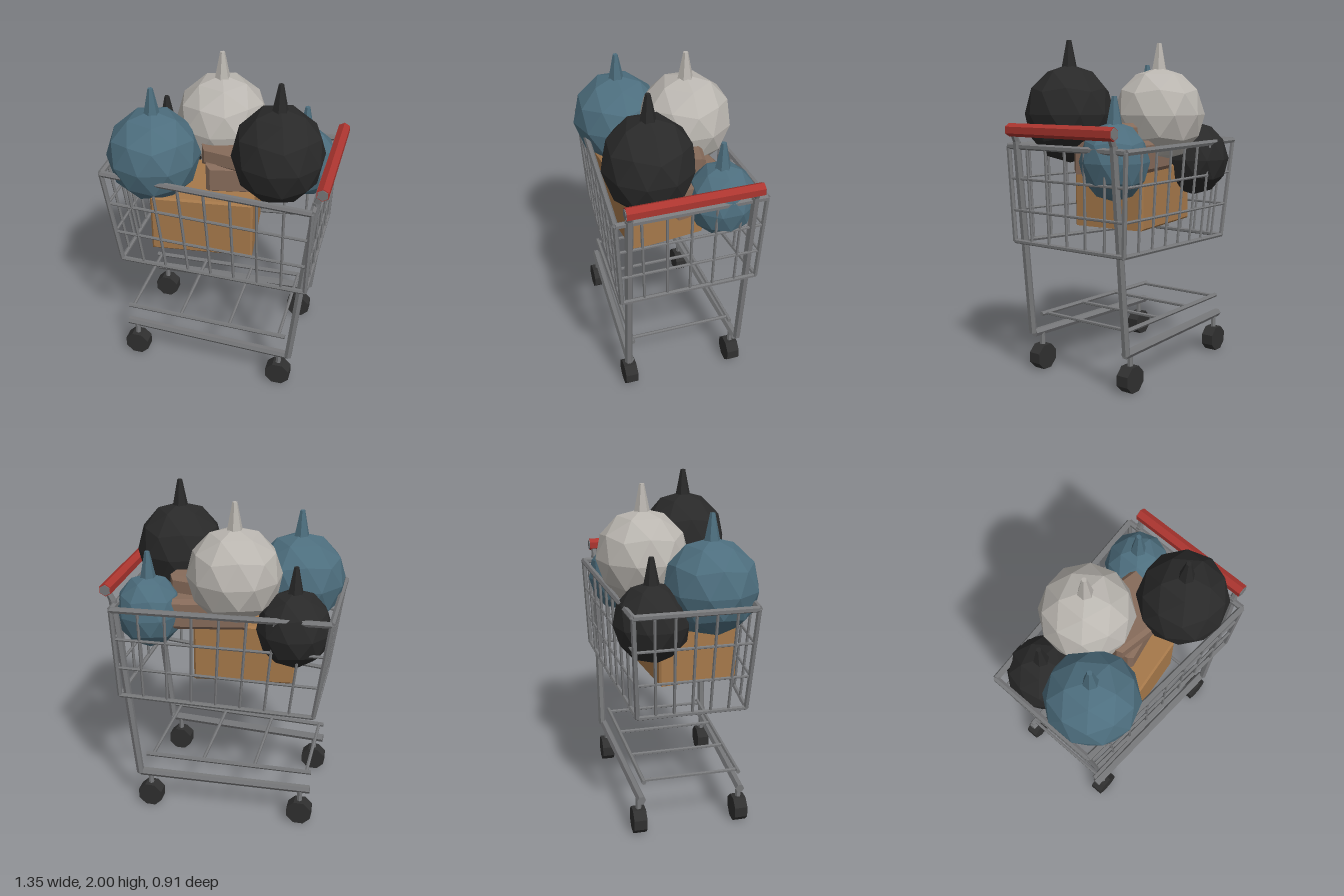
import * as THREE from 'three';

const mat = (name, color) => {
  const m = new THREE.MeshStandardMaterial({ color, flatShading: true });
  m.name = name;
  return m;
};

export function createModel() {
  const metal = mat('grey metal', 0x77787a), red = mat('red grip', 0xab352f);
  const blue = mat('slate blue', 0x4d6e7e), white = mat('pale grey', 0xbab6b0);
  const black = mat('charcoal', 0x292929), rubber = mat('wheel rubber', 0x303030);
  const tan = mat('tan cardboard', 0xa5784a), brown = mat('brown cardboard', 0x866b5a);
  const root = new THREE.Group();
  const V = (x, y, z) => new THREE.Vector3(x, y, z);

  const group = (name, parent = root) => {
    const g = new THREE.Group();
    g.name = name;
    parent.add(g);
    return g;
  };
  const add = (parent, name, geo, material, x = 0, y = 0, z = 0) => {
    const m = new THREE.Mesh(geo, material);
    m.name = name;
    m.position.set(x, y, z);
    parent.add(m);
    return m;
  };
  // Straight bar between two points
  const bar = (parent, name, a, b, r, material = metal, sides = 6) => {
    const dir = b.clone().sub(a);
    const m = add(parent, name, new THREE.CylinderGeometry(r, r, dir.length(), sides), material);
    m.position.copy(a).add(b).multiplyScalar(0.5);
    m.quaternion.setFromUnitVectors(V(0, 1, 0), dir.normalize());
    return m;
  };

  // Wire basket: four tapered panels between a bottom and a top loop
  const basket = group('basket');
  const bottom = [V(-0.58, 0.765, 0.32), V(0.585, 0.815, 0.41), V(0.585, 0.815, -0.41), V(-0.58, 0.765, -0.32)];
  const top = [V(-0.66, 1.385, 0.35), V(0.6, 1.385, 0.435), V(0.6, 1.385, -0.435), V(-0.66, 1.385, -0.35)];
  for (let i = 0; i < 4; i++) {
    const j = (i + 1) % 4;
    bar(basket, 'topRim', top[i], top[j], 0.019);
    bar(basket, 'bottomRim', bottom[i], bottom[j], 0.014);
    bar(basket, 'cornerPost', bottom[i], top[i], 0.015);
    for (const t of [1 / 3, 2 / 3]) {
      bar(basket, 'horizontalWire', bottom[i].clone().lerp(top[i], t), bottom[j].clone().lerp(top[j], t), 0.009);
    }
    const spaces = i % 2 ? 6 : 8;
    for (let k = 1; k < spaces; k++) {
      bar(basket, 'verticalWire', bottom[i].clone().lerp(bottom[j], k / spaces),
        top[i].clone().lerp(top[j], k / spaces), 0.009);
    }
  }

  // Frame, casters and rack rails, mirrored across z
  const frame = group('frame'), casters = group('casters'), rack = group('lowerRack');
  for (const s of [1, -1]) {
    bar(frame, 'uprightLeg', V(0.5, 0.235, 0.36 * s), V(0.61, 1.415, 0.36 * s), 0.024);
    bar(frame, 'handleArm', V(0.605, 1.4, 0.36 * s), V(0.642, 1.48, 0.36 * s), 0.02);
    bar(frame, 'baseRail', V(-0.58, 0.235, 0.3 * s), V(0.5, 0.235, 0.35 * s), 0.026);
    bar(rack, 'rackRail', V(-0.58, 0.352, 0.285 * s), V(0.467, 0.352, 0.318 * s), 0.014);
    for (const [x, z] of [[-0.52, 0.308], [0.437, 0.34]]) {
      bar(casters, 'casterStem', V(x, 0.09, z * s), V(x, 0.235, z * s), 0.017);
      const wheel = add(casters, 'wheel', new THREE.CylinderGeometry(0.081, 0.081, 0.078, 8), rubber, x, 0.078, z * s);
      wheel.rotation.set(Math.PI / 2, Math.PI / 8, 0);
    }
  }
  for (let i = 0; i < 4; i++) {
    const x = -0.55 + i * 0.325, z = 0.287 + i * 0.01;
    bar(rack, 'rackCrossbar', V(x, 0.352, -z), V(x, 0.352, z), 0.011);
  }

  // Push handle with metal core showing at the ends
  bar(frame, 'handleCore', V(0.642, 1.483, -0.393), V(0.642, 1.483, 0.393), 0.033);
  bar(frame, 'handleGrip', V(0.642, 1.483, -0.388), V(0.642, 1.483, 0.388), 0.039, red);

  // Chamfered cardboard boxes
  const crate = (name, material, w, h, d, bevel, x, y, z, turn) => {
    const a = w / 2 - bevel, b = h / 2 - bevel;
    const shape = new THREE.Shape([[-a, -b], [a, -b], [a, b], [-a, b]].map(p => new THREE.Vector2(...p)));
    const geo = new THREE.ExtrudeGeometry(shape, {
      depth: d - 2 * bevel, bevelEnabled: true, bevelSize: bevel, bevelThickness: bevel, bevelSegments: 1,
    });
    geo.translate(0, 0, bevel - d / 2);
    add(root, name, geo, material, x, y, z).rotation.y = turn;
  };
  crate('largeBox', tan, 0.61, 0.37, 0.48, 0.012, -0.105, 1.065, 0.045, 0.12);
  crate('middleBox', brown, 0.56, 0.19, 0.39, 0.025, 0.155, 1.325, -0.08, 0.2);
  crate('upperBox', brown, 0.4, 0.13, 0.36, 0.025, 0.1, 1.455, -0.03, -0.17);

  // Faceted sacks, pole up, each with a tapered tied neck
  const sack = (name, material, x, y, z, r, ry, tip) => {
    const g = group(name);
    const ball = new THREE.IcosahedronGeometry(1, 1);
    ball.rotateZ(-Math.atan(2 / (1 + Math.sqrt(5))));
    ball.scale(r, ry, r);
    add(g, 'sackBody', ball, material, x, y, z);
    const base = y + ry - 0.02;
    add(g, 'sackNeck', new THREE.CylinderGeometry(0.015, 0.047, tip - base, 6), material, x, (tip + base) / 2, z);
  };
  sack('frontBlueSack', blue, -0.4, 1.45, 0.152, 0.279, 0.282, 1.87);
  sack('paleSack', white, -0.07, 1.565, -0.175, 0.279, 0.282, 1.99);
  sack('frontBlackSack', black, 0.35, 1.572, 0.175, 0.267, 0.29, 2.0);
  sack('rearBlackSack', black, -0.43, 1.275, -0.2, 0.222, 0.235, 1.65);
  sack('rearBlueSack', blue, 0.435, 1.315, -0.228, 0.2, 0.225, 1.68);

  return root;
}
